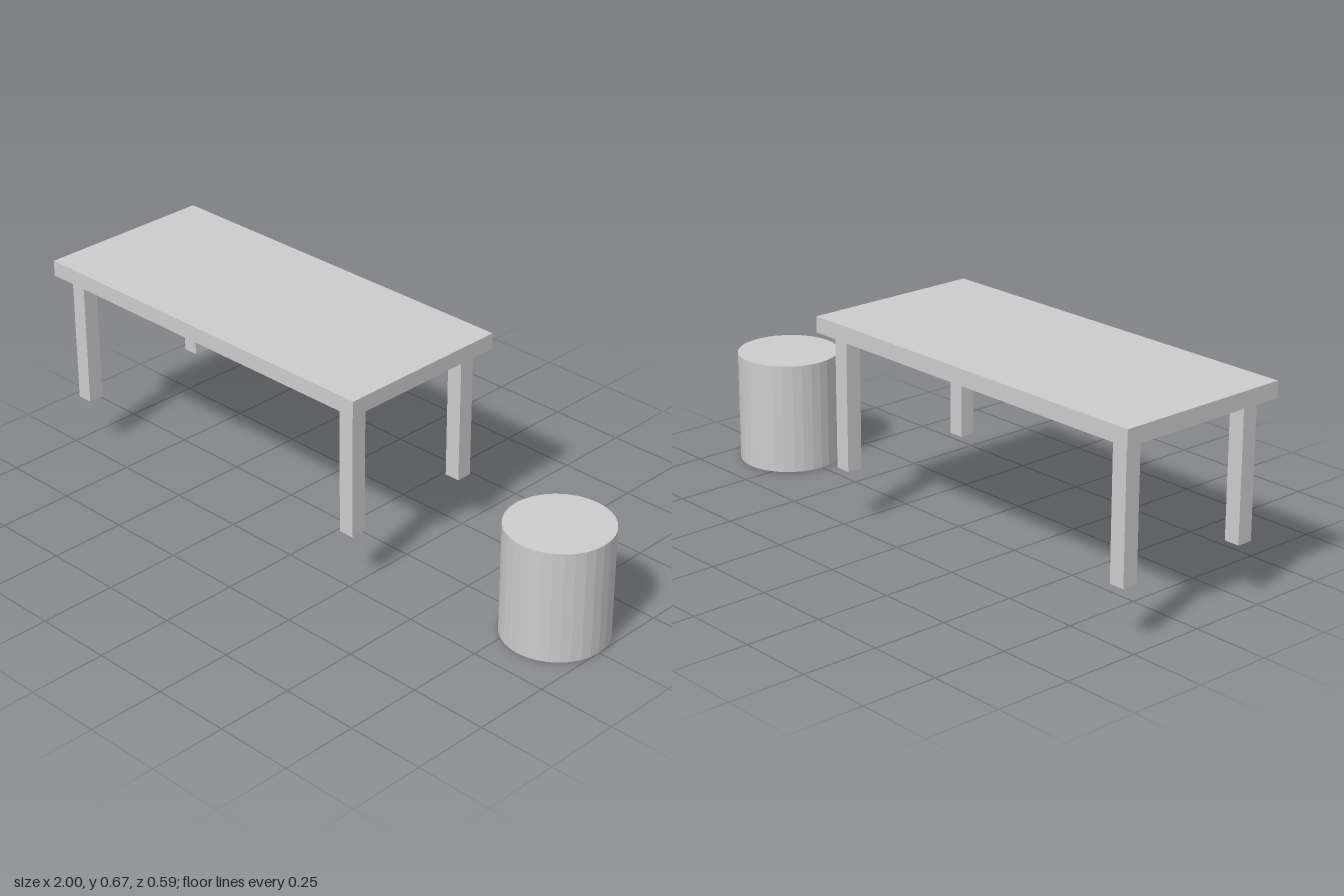
import * as THREE from 'three';

export function createModel() {
  const model = new THREE.Group();
  model.name = 'tableAndStool';
  const grey = new THREE.MeshStandardMaterial({ color: 0xcccccc });
  grey.name = 'light grey';
  grey.flatShading = true;

  const add = (parent, name, geometry, x, y, z) => {
    const mesh = new THREE.Mesh(geometry, grey);
    mesh.name = name;
    mesh.position.set(x, y, z);
    parent.add(mesh);
  };

  // Table: a slab on four square legs
  const table = new THREE.Group();
  table.name = 'table';
  table.position.x = -0.345;
  model.add(table);
  const bottom = 0.182, underside = 0.614, top = 0.665;
  add(table, 'tableTop', new THREE.BoxGeometry(1.31, top - underside, 0.59), 0, (top + underside) / 2, 0);
  const legGeometry = new THREE.BoxGeometry(0.052, underside - bottom, 0.052);
  for (const [side, sx] of [['Left', 1], ['Right', -1]]) {
    for (const [end, sz] of [['front', 1], ['back', -1]]) {
      add(table, `${end}${side}Leg`, legGeometry, sx * 0.589, (underside + bottom) / 2, sz * 0.23);
    }
  }

  // Round stool beside the table
  add(model, 'stool', new THREE.CylinderGeometry(0.164, 0.164, 0.361, 32), 0.836, 0.1805, 0);

  return model;
}
